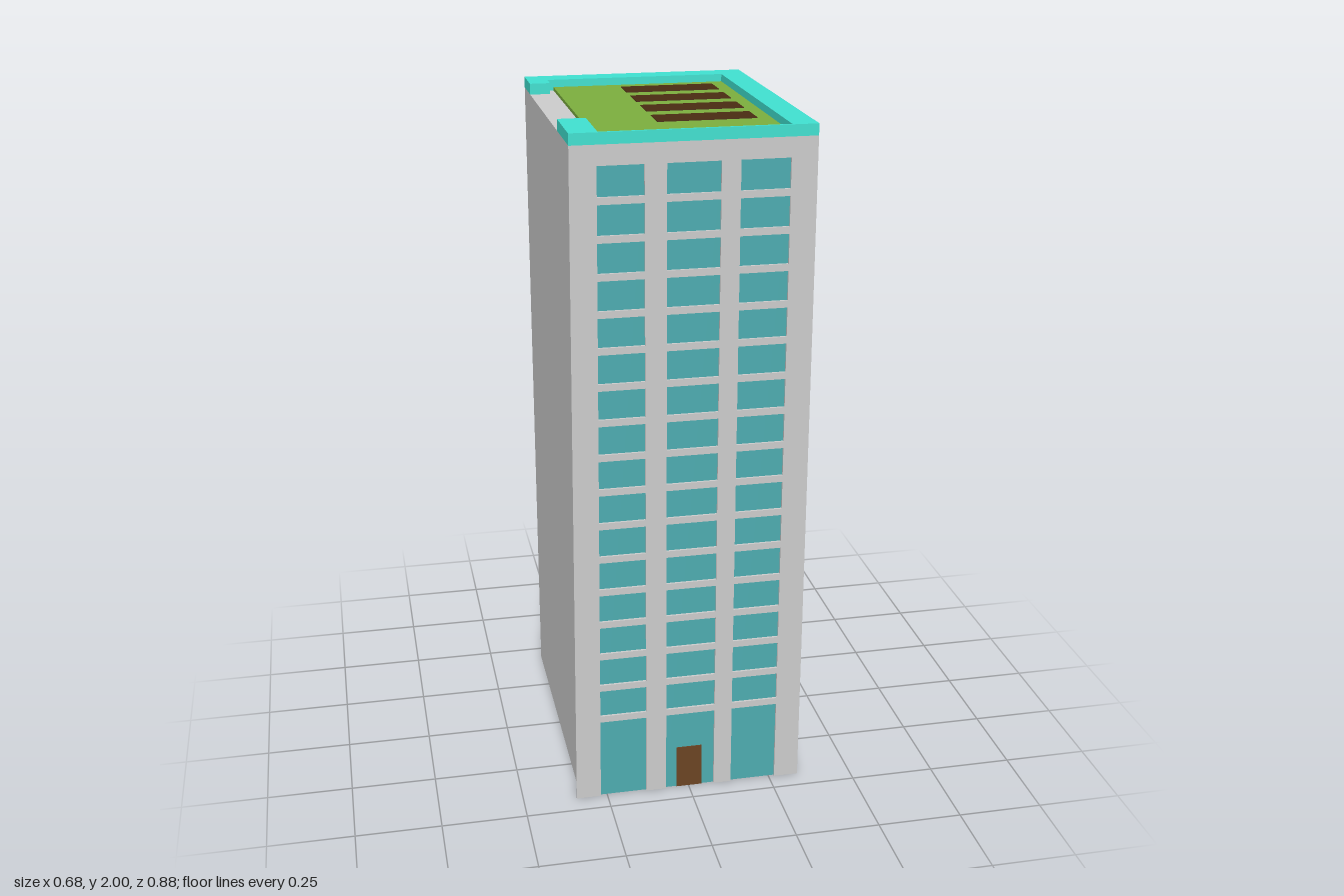
import * as THREE from 'three';

const LEFT = -0.33, RIGHT = 0.34, BACK = -0.44, FRONT = 0.44, WALL = 0.432;
const ROOF = 1.968, TOP = 2;

const mat = (color) => new THREE.MeshStandardMaterial({ color, flatShading: true });
const grey = mat(0xcccccc), teal = mat(0x40e0d0), glass = mat(0x4dacb0);
const grass = mat(0x7cae3e), soil = mat(0x4a2c12), wood = mat(0x6b4423);

// box given by its limits on each axis
function block(name, material, [x0, x1], [y0, y1], [z0, z1]) {
  const mesh = new THREE.Mesh(new THREE.BoxGeometry(x1 - x0, y1 - y0, z1 - z0), material);
  mesh.position.set((x0 + x1) / 2, (y0 + y1) / 2, (z0 + z1) / 2);
  mesh.name = name;
  return mesh;
}

const polygon = (points) => points.map(([x, y]) => new THREE.Vector2(x, y));

export function createModel() {
  const model = new THREE.Group();
  model.name = 'towerBlock';

  model.add(block('body', grey, [LEFT, RIGHT], [0, ROOF], [BACK, WALL]));

  // window columns; the left pier leans out slightly towards the ground
  const lean = (y) => -0.013 * (1 - y / 1.912);
  const columns = [
    { x0: (y) => -0.257 + lean(y), x1: -0.13 },
    { x0: () => -0.07, x1: 0.077 },
    { x0: () => 0.13, x1: 0.267 },
  ];
  const topSill = 1.912, pitch = 0.1037, floors = 16, bar = 0.02;
  const groundTop = topSill - floors * pitch;

  // facade plate: ground floor openings notch its lower edge
  const outline = [[LEFT, ROOF], [LEFT - 0.013, 0]];
  for (const { x0, x1 } of columns) {
    outline.push([x0(0), 0], [x0(groundTop), groundTop], [x1, groundTop], [x1, 0]);
  }
  outline.push([RIGHT, 0], [RIGHT, ROOF]);
  const facade = new THREE.Shape(polygon(outline));
  for (const { x0, x1 } of columns) {
    for (let i = 0; i < floors; i++) {
      const y1 = topSill - i * pitch, y0 = y1 - pitch + bar;
      facade.holes.push(new THREE.Path(polygon([[x0(y0), y0], [x1, y0], [x1, y1], [x0(y1), y1]])));
    }
  }
  const facadeMesh = new THREE.Mesh(
    new THREE.ExtrudeGeometry(facade, { depth: FRONT - WALL, bevelEnabled: false }), grey);
  facadeMesh.position.z = WALL;
  facadeMesh.name = 'facadeGrid';
  model.add(facadeMesh);

  // glazing strip behind each column of openings
  columns.forEach(({ x0, x1 }, i) => {
    model.add(block('glazing' + (i + 1), glass, [x0(0), x1], [0, topSill], [WALL - 0.002, WALL + 0.001]));
  });
  model.add(block('door', wood, [-0.037, 0.04], [0, 0.135], [WALL, WALL + 0.004]));

  // parapet ring, open along the right-hand side of the roof
  const ring = new THREE.Shape(polygon([
    [LEFT, FRONT], [LEFT, 0.242], [-0.252, 0.242], [-0.252, WALL], [0.268, WALL], [0.268, -0.368],
    [-0.27, -0.368], [-0.27, -0.312], [LEFT, -0.312], [LEFT, BACK], [RIGHT, BACK], [RIGHT, FRONT],
  ]));
  const parapet = new THREE.Mesh(
    new THREE.ExtrudeGeometry(ring, { depth: TOP - ROOF, bevelEnabled: false }), teal);
  parapet.rotation.x = Math.PI / 2;
  parapet.position.y = TOP;
  parapet.name = 'parapet';
  model.add(parapet);

  // roof garden
  model.add(block('lawn', grass, [-0.252, 0.268], [ROOF, 1.978], [-0.368, WALL]));
  for (let i = 0; i < 4; i++) {
    const z = -0.278 + i * 0.1525;
    model.add(block('plantingBed' + (i + 1), soil, [-0.053, 0.228], [1.97, 1.98], [z - 0.047, z + 0.047]));
  }
  return model;
}
